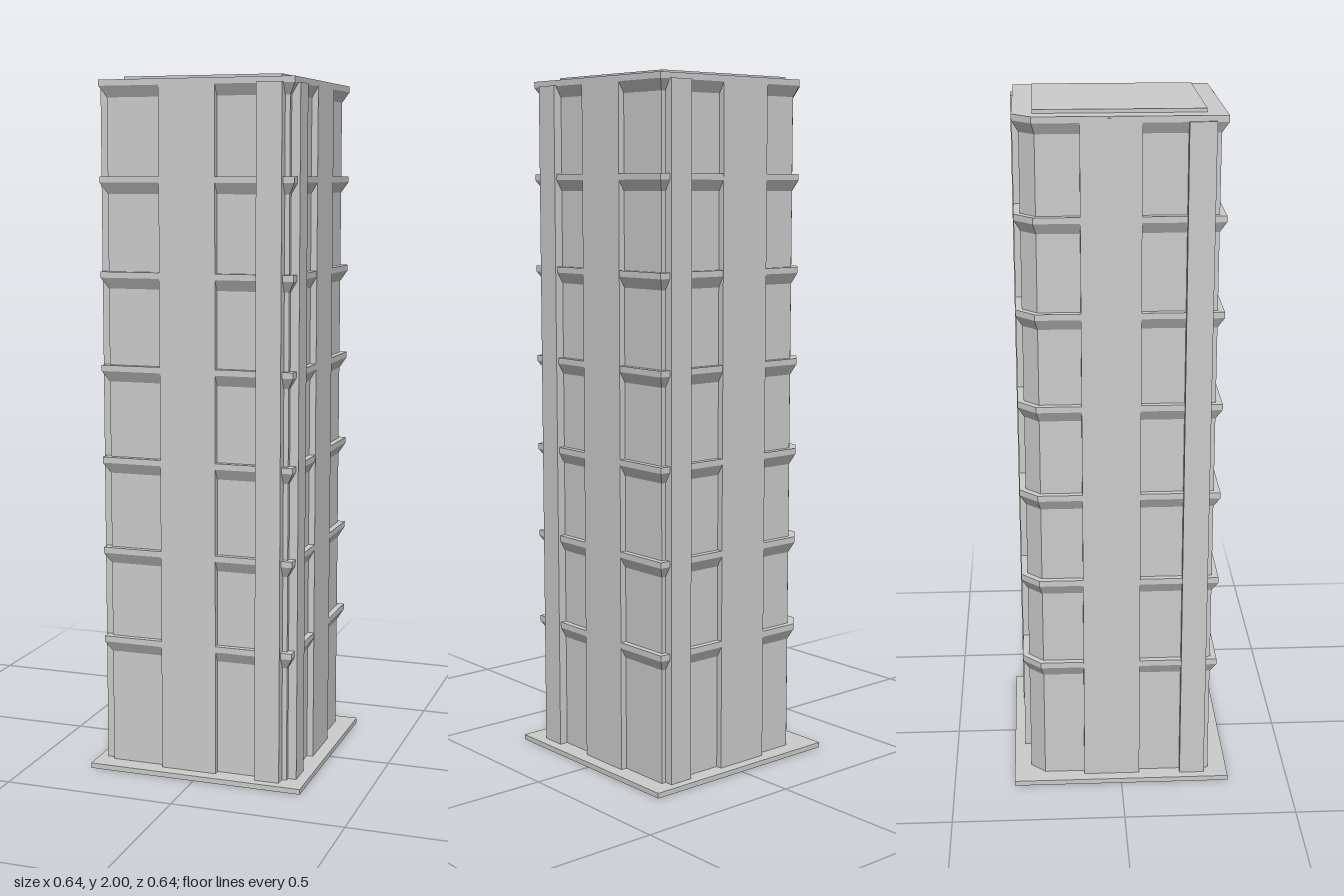
import * as THREE from 'three';

const CENTRE = -0.003; // the shaft sits slightly off the middle of its base

// Square outline with one cut corner at (-x, -z), ordered anticlockwise from above
function outline(half, cut) {
  return [[-half, -half + cut], [-half, half], [half, half], [half, -half], [-half + cut, -half]];
}

// Loft through [y, half, cut] sections, bottom to top, with flat caps
function loft(sections) {
  const rings = sections.map(([y, half, cut]) =>
    outline(half, cut).map(([x, z]) => [x + CENTRE, y, z + CENTRE]));
  const pos = [];
  const tri = (a, b, c) => pos.push(...a, ...b, ...c);
  const n = rings[0].length;
  for (let r = 0; r < rings.length - 1; r++) {
    for (let i = 0; i < n; i++) {
      const j = (i + 1) % n;
      const a = rings[r][i], b = rings[r][j], c = rings[r + 1][j], d = rings[r + 1][i];
      tri(a, b, c);
      tri(a, c, d);
    }
  }
  const bottom = rings[0], top = rings[rings.length - 1];
  for (let i = 1; i < n - 1; i++) {
    tri(top[0], top[i], top[i + 1]);
    tri(bottom[0], bottom[i + 1], bottom[i]);
  }
  const geo = new THREE.BufferGeometry();
  geo.setAttribute('position', new THREE.Float32BufferAttribute(pos, 3));
  geo.computeVertexNormals();
  return geo;
}

// Box given by its lower and upper limits
function block(x0, x1, y0, y1, z0, z1) {
  return new THREE.BoxGeometry(x1 - x0, y1 - y0, z1 - z0)
    .translate((x0 + x1) / 2, (y0 + y1) / 2, (z0 + z1) / 2);
}

export function createModel() {
  const tower = new THREE.Group();
  tower.name = 'tower';
  const material = new THREE.MeshStandardMaterial({ color: 0xcccccc, flatShading: true });
  const add = (name, geo) => {
    const mesh = new THREE.Mesh(geo, material);
    mesh.name = name;
    tower.add(mesh);
  };

  // Ground plate and recessed shaft
  add('basePlate', block(-0.32, 0.32, 0, 0.015, -0.32, 0.32));
  add('shaft', loft([[0.01, 0.267, 0.042], [1.98, 0.267, 0.042]]));

  // Ledge at each floor, sloping in underneath; the last one forms the roof edge
  for (let i = 0; i < 7; i++) {
    const y = 0.395 + i * (1.99 - 0.395) / 6;
    add(i === 6 ? 'roofEdge' : 'floorLedge' + (i + 1),
      loft([[y - 0.048, 0.267, 0.042], [y - 0.017, 0.285, 0.052], [y, 0.285, 0.052]]));
  }

  // Wide wall panels running through the shaft, showing on all four sides
  add('panelFrontBack', block(-0.11, 0.055, 0.01, 1.985, -0.2885, 0.2825));
  add('panelSides', block(-0.2885, 0.2825, 0.01, 1.985, -0.11, 0.055));

  // Narrow pilasters, also crossing the full width
  add('pilasterFrontBack', block(0.177, 0.25, 0.01, 1.975, -0.295, 0.294));
  add('pilasterSides', block(-0.295, 0.289, 0.01, 1.975, 0.177, 0.25));

  // Raised roof deck
  add('roofDeck', block(-0.233, 0.229, 1.985, 2, -0.233, 0.229));

  return tower;
}
